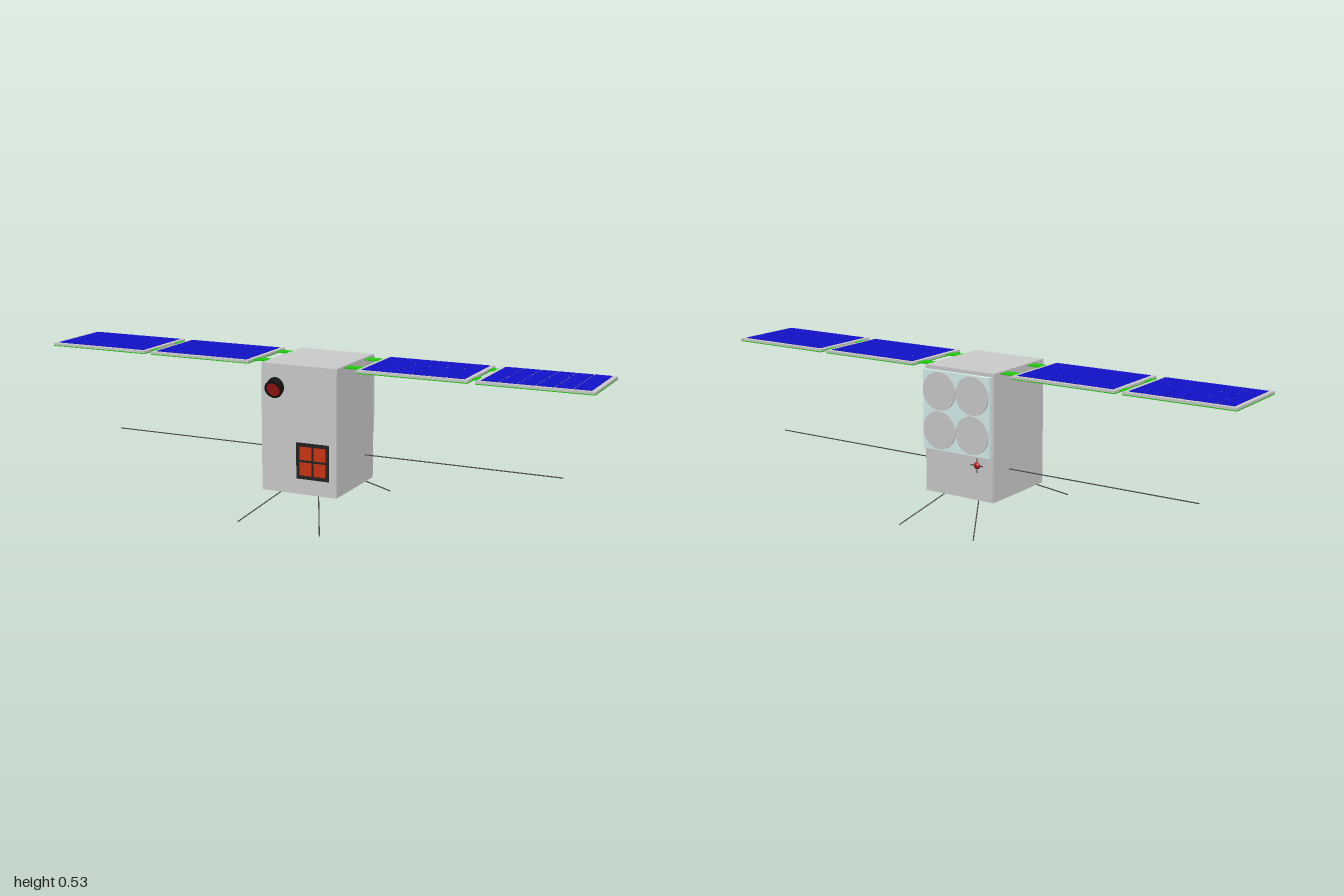
import * as THREE from 'three';

const mat = (color, side = THREE.FrontSide) => new THREE.MeshStandardMaterial({ color, side });
const GREY = mat(0xcccccc);
const GREEN = mat(0x22cc11);
const BLUE = mat(0x1111cc);
const BLACK = mat(0x111111, THREE.DoubleSide);
const RED = mat(0xaa1818);
const ORANGE = mat(0xcc3311);
const GLASS = mat(0xd8f0f0);
const DARK = mat(0x444444);

function add(parent, name, geometry, material, x = 0, y = 0, z = 0) {
  const mesh = new THREE.Mesh(geometry, material);
  mesh.name = name;
  mesh.position.set(x, y, z);
  parent.add(mesh);
  return mesh;
}

// box given by its lower and upper bounds
function box(parent, name, material, [x0, x1], [y0, y1], [z0, z1]) {
  return add(parent, name, new THREE.BoxGeometry(x1 - x0, y1 - y0, z1 - z0), material,
    (x0 + x1) / 2, (y0 + y1) / 2, (z0 + z1) / 2);
}

// thin rod between two points
function rod(parent, name, a, b, radius) {
  const from = new THREE.Vector3(...a), to = new THREE.Vector3(...b);
  const dir = to.clone().sub(from);
  const mesh = add(parent, name, new THREE.CylinderGeometry(radius, radius, dir.length(), 8), DARK);
  mesh.position.copy(from).add(to).multiplyScalar(0.5);
  mesh.quaternion.setFromUnitVectors(new THREE.Vector3(0, 1, 0), dir.normalize());
}

// one solar panel: circuit board, frame and a 6 x 3 field of cells
function solarPanel(x0, x1) {
  const panel = new THREE.Group();
  panel.name = 'solarPanel';
  const z0 = -0.142, z1 = 0.135, border = 0.013, cols = 6, rows = 3, gap = 0.004;
  box(panel, 'panelBoard', GREEN, [x0, x1], [0.52, 0.523], [z0, z1]);
  box(panel, 'panelFrame', GREY, [x0, x1], [0.523, 0.531], [z0, z1]);
  const w = (x1 - x0 - 2 * border) / cols, d = (z1 - z0 - 2 * border) / rows;
  for (let i = 0; i < cols; i++) {
    for (let j = 0; j < rows; j++) {
      const x = x0 + border + i * w, z = z0 + border + j * d;
      box(panel, 'solarCell', BLUE, [x + gap / 2, x + w - gap / 2], [0.53, 0.533],
        [z + gap / 2, z + d - gap / 2]);
    }
  }
  return panel;
}

export function createModel() {
  const model = new THREE.Group();
  model.name = 'satellite';

  box(model, 'body', GREY, [-0.14, 0.14], [0.09, 0.533], [-0.153, 0.153]);

  // solar wings with their green connecting straps
  for (const side of [-1, 1]) {
    const wing = new THREE.Group();
    wing.name = side > 0 ? 'leftWing' : 'rightWing';
    for (const [a, b] of [[0.2, 0.587], [0.613, 1]]) {
      wing.add(side > 0 ? solarPanel(a, b) : solarPanel(-b, -a));
    }
    for (const z of [-0.092, 0.072]) {
      for (const [a, b] of [[0.135, 0.21], [0.58, 0.62]]) {
        add(wing, 'wingStrap', new THREE.BoxGeometry(b - a, 0.004, 0.042), GREEN,
          side * (a + b) / 2, 0.526, z);
      }
    }
    model.add(wing);
  }

  // tilted camera with a recessed red lens
  const camera = new THREE.Group();
  camera.name = 'cameraSensor';
  const barrel = [[0.025, 0.05], [0.025, 0.056], [0.032, 0.056], [0.032, 0], [0, 0]]
    .reverse().map(([r, h]) => new THREE.Vector2(r, h));
  const shell = new THREE.LatheGeometry(barrel, 32).toNonIndexed();
  shell.computeVertexNormals();
  add(camera, 'cameraBarrel', shell, BLACK);
  add(camera, 'cameraLens', new THREE.CylinderGeometry(0.025, 0.025, 0.004, 32), RED, 0, 0.051, 0);
  camera.rotation.x = Math.PI / 2 + 0.335;
  camera.position.set(-0.087, 0.465, 0.119);
  model.add(camera);

  // framed window with four orange panes on the front
  const wx = 0.052, wy = 0.207;
  add(model, 'windowFrame', new THREE.BoxGeometry(0.122, 0.126, 0.004), mat(0x222222), wx, wy, 0.153);
  for (const i of [-1, 1]) {
    for (const j of [-1, 1]) {
      add(model, 'windowPane', new THREE.BoxGeometry(0.045, 0.046, 0.003), ORANGE,
        wx + i * 0.026, wy + j * 0.027, 0.1545);
    }
  }

  // rear plate carrying four round discs
  box(model, 'discPlate', GLASS, [-0.137, 0.135], [0.247, 0.522], [-0.173, -0.159]);
  for (const x of [-0.067, 0.067]) {
    for (const y of [0.318, 0.453]) {
      const disc = add(model, 'antennaDisc', new THREE.CylinderGeometry(0.066, 0.066, 0.005, 48), GREY,
        x, y, -0.1745);
      disc.rotation.x = Math.PI / 2;
    }
  }

  // lower rear cover with a red dome on a small cross
  box(model, 'rearCover', GREY, [-0.135, 0.135], [0.095, 0.253], [-0.157, -0.15]);
  add(model, 'redDome', new THREE.SphereGeometry(0.013, 20, 14), RED, -0.075, 0.212, -0.153 - 0.0005);
  for (const angle of [0, Math.PI / 2]) {
    const bar = add(model, 'domeCross', new THREE.BoxGeometry(0.05, 0.004, 0.003), DARK,
      -0.075, 0.212, -0.1565);
    bar.rotation.z = angle;
  }

  // long side antennas
  rod(model, 'leftAntenna', [0.135, 0.188, -0.083], [0.85, 0.188, -0.083], 0.002);
  rod(model, 'rightAntenna', [-0.135, 0.188, -0.058], [-0.85, 0.188, -0.058], 0.002);

  // splayed whisker legs
  for (const z of [-1, 1]) {
    rod(model, 'leftLeg', [0.065, 0.092, z * 0.135], [0.147, 0.002, z * 0.3], 0.002);
    rod(model, 'rightLeg', [-0.068, 0.092, z * 0.135], [-0.158, z > 0 ? 0.011 : 0.004, z * 0.3], 0.002);
  }

  return model;
}
